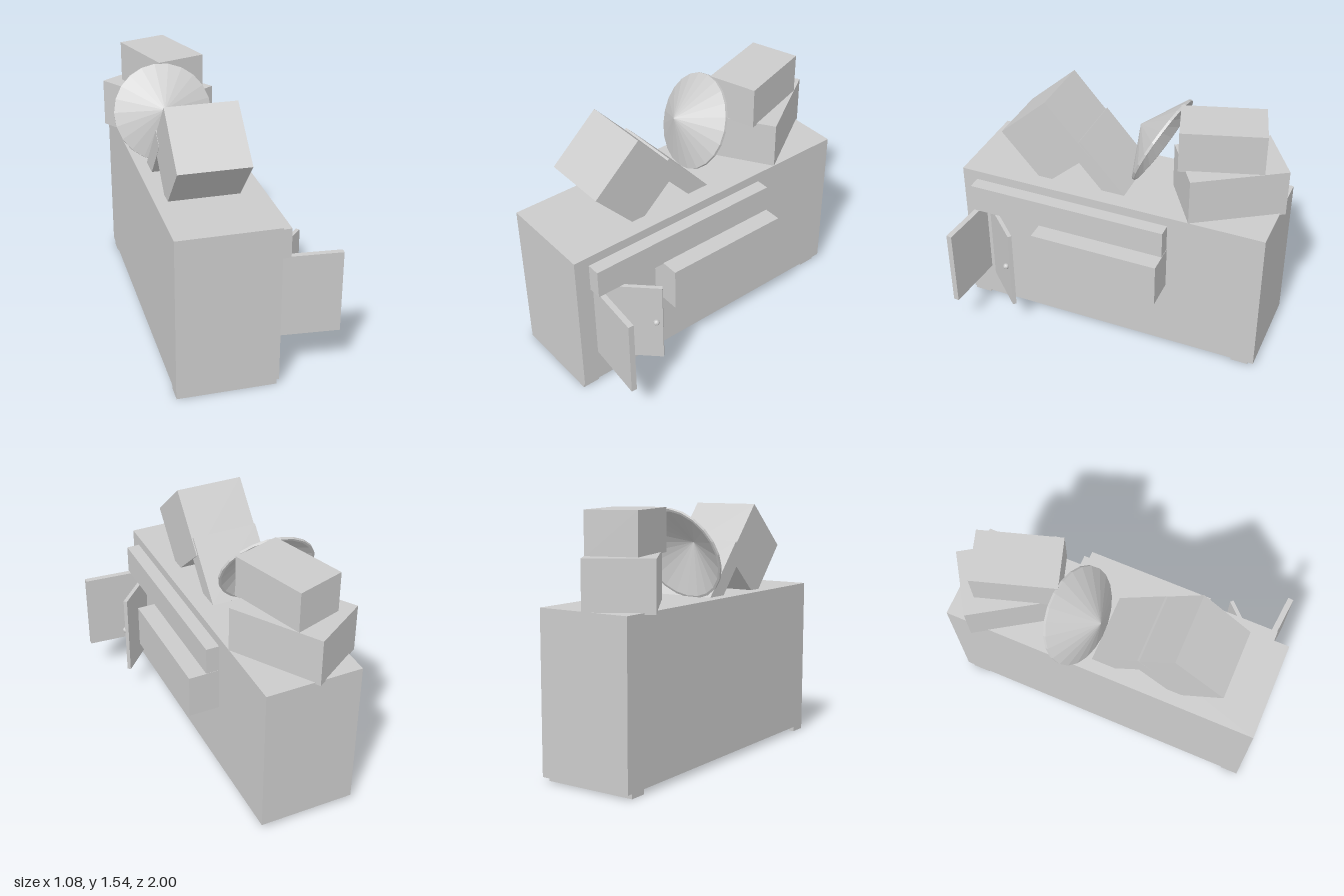
import * as THREE from 'three';

const grey = new THREE.MeshStandardMaterial({ color: 0xcccccc, flatShading: true });
const greyThin = new THREE.MeshStandardMaterial({ color: 0xcccccc, flatShading: true, side: THREE.DoubleSide });

export function createModel() {
  const model = new THREE.Group();

  function box(name, size, pos, rot = [0, 0, 0]) {
    const mesh = new THREE.Mesh(new THREE.BoxGeometry(...size), grey);
    mesh.name = name;
    mesh.position.set(...pos);
    mesh.rotation.set(...rot);
    model.add(mesh);
    return mesh;
  }
  // Axis-aligned box given by its low and high corners
  const span = (name, lo, hi) =>
    box(name, hi.map((h, i) => h - lo[i]), hi.map((h, i) => (h + lo[i]) / 2));

  // Cabinet body with a top rail and a pulled-out drawer on its side
  span('cabinetBody', [-0.455, 0.03, -0.97], [0.15, 1.0, 1.0]);
  span('topRail', [0.14, 0.76, -0.37], [0.233, 0.94, 0.905]);
  span('openDrawer', [0.14, 0.485, -0.372], [0.345, 0.765, 0.443]);

  // C-shaped feet under both ends: a bar with two short arms turned inward
  for (const [name, outer, dir] of [['frontFoot', 1.0, -1], ['backFoot', -0.93, 1]]) {
    const place = (part, x0, x1, d0, d1) => {
      const a = outer + dir * d0, b = outer + dir * d1;
      span(name + part, [x0, 0, Math.min(a, b)], [x1, 0.03, Math.max(a, b)]);
    };
    place('Bar', -0.453, 0.135, 0, 0.035);
    place('LeftArm', 0.1, 0.135, 0.035, 0.11);
    place('RightArm', -0.453, -0.418, 0.035, 0.11);
  }

  // Two open doors, the inner one with a round knob
  box('outerDoor', [0.405, 0.51, 0.035], [0.339, 0.505, 0.888], [0, -0.088, 0]);
  const door = box('innerDoor', [0.37, 0.55, 0.024], [0.258, 0.475, 0.702], [0, Math.PI / 4 + 0.02, 0]);
  const knob = new THREE.Mesh(new THREE.SphereGeometry(0.019, 12, 8), grey);
  knob.name = 'doorKnob';
  knob.position.set(0.148, 0.02, 0.026);
  door.add(knob);

  // Tilted lamp-like block with its slab arm, sunk into the cabinet top
  const tilt = 0.733;
  box('tiltedBlock', [0.425, 0.42, 0.41], [-0.166, 1.2475, 0.469], [tilt, 0, 0]);
  box('tiltedArm', [0.42, 0.43, 0.11], [-0.17, 1.123, 0.136], [tilt, 0, 0]);

  // Leaning conical shade, open at the back, with a narrow rim
  const profile = [[0, 0.165], [0.298, 0.008], [0.298, -0.008], [0.284, -0.008], [0, 0.145]]
    .map(([r, y]) => new THREE.Vector2(r, y));
  const shade = new THREE.Mesh(new THREE.LatheGeometry(profile.reverse(), 22), greyThin);
  shade.name = 'coneShade';
  shade.position.set(-0.246, 1.265, -0.182);
  const axis = new THREE.Vector3(-0.1, 0.42, 0.9).normalize();
  shade.quaternion.setFromUnitVectors(new THREE.Vector3(0, 1, 0), axis);
  model.add(shade);

  // Two stacked cartons, turned to different angles
  box('lowerCarton', [0.405, 0.3, 0.594], [-0.18, 1.14, -0.64], [0, 0.569, 0]);
  box('upperCarton', [0.312, 0.26, 0.503], [-0.163, 1.412, -0.585], [0, 0.303, 0]);

  return model;
}
